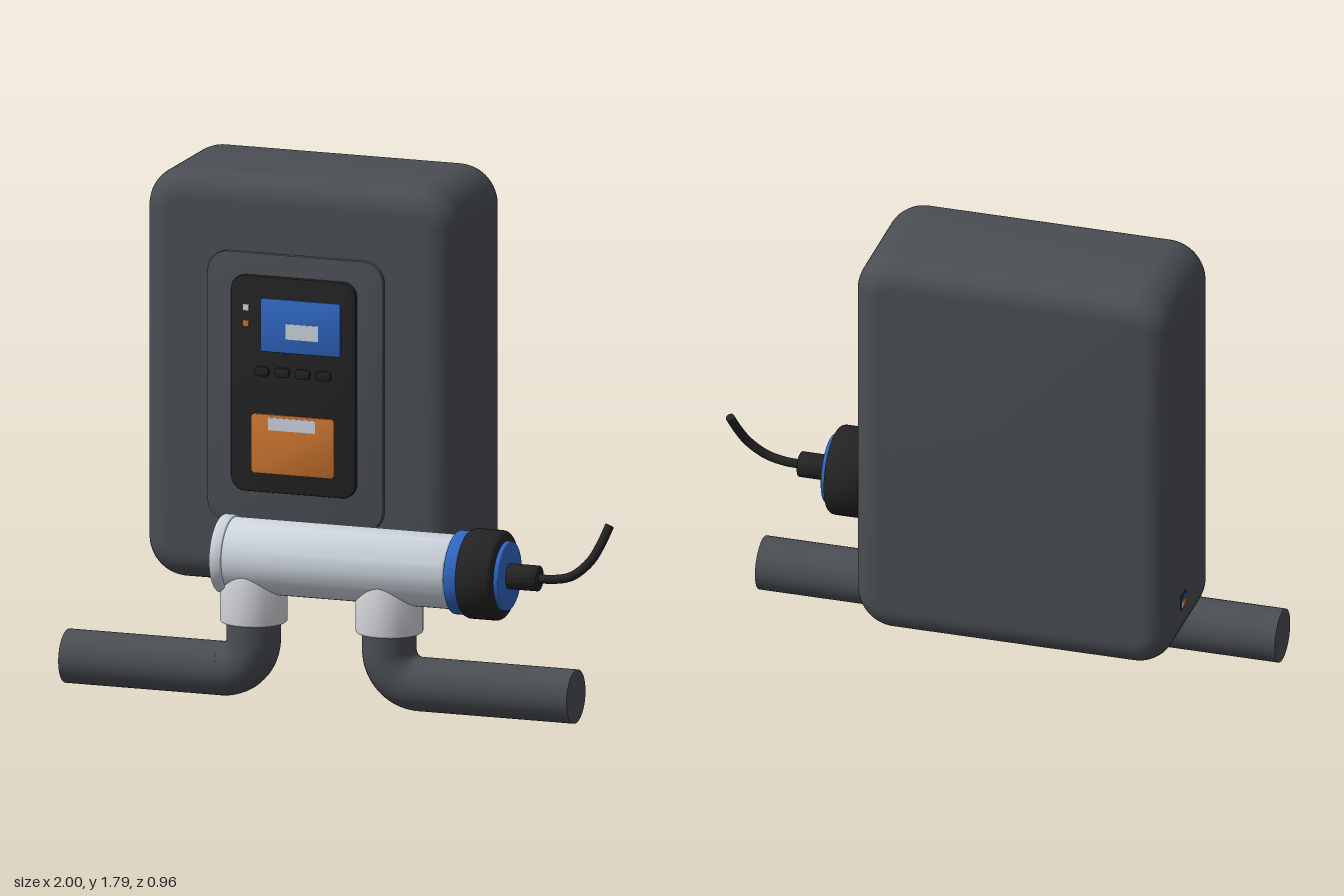
import * as THREE from 'three';
import { toCreasedNormals } from 'three/addons/utils/BufferGeometryUtils.js';

const mat = (name, color) => {
  const m = new THREE.MeshStandardMaterial({ color });
  m.name = name;
  return m;
};

// Rounded rectangle outline centred on the origin
function roundedRect(w, h, r) {
  const s = new THREE.Shape(), x = w / 2, y = h / 2;
  s.moveTo(-x + r, -y);
  s.lineTo(x - r, -y);
  s.absarc(x - r, -y + r, r, -Math.PI / 2, 0);
  s.lineTo(x, y - r);
  s.absarc(x - r, y - r, r, 0, Math.PI / 2);
  s.lineTo(-x + r, y);
  s.absarc(-x + r, y - r, r, Math.PI / 2, Math.PI);
  s.lineTo(-x, -y + r);
  s.absarc(-x + r, -y + r, r, Math.PI, Math.PI * 1.5);
  return s;
}

// Rounded slab between two corners and two depths, with an edge bevel
function slab(x0, x1, y0, y1, z0, z1, r, bevel, segments = 2) {
  const g = new THREE.ExtrudeGeometry(roundedRect(x1 - x0 - 2 * bevel, y1 - y0 - 2 * bevel, r - bevel), {
    depth: z1 - z0 - 2 * bevel, bevelEnabled: bevel > 0, bevelSize: bevel,
    bevelThickness: bevel, bevelSegments: segments, curveSegments: 10,
  });
  g.translate((x0 + x1) / 2, (y0 + y1) / 2, z0 + bevel);
  return toCreasedNormals(g, 0.6);
}

// Closed turned solid along y, with rounded rims
function turned(radius, y0, y1, rim) {
  const pts = [new THREE.Vector2(0, y0)];
  for (const [cy, start] of [[y0 + rim, -Math.PI / 2], [y1 - rim, 0]]) {
    for (let i = 0; i <= 5; i++) {
      const a = start + (i / 5) * Math.PI / 2;
      pts.push(new THREE.Vector2(radius - rim + Math.cos(a) * rim, cy + Math.sin(a) * rim));
    }
  }
  pts.push(new THREE.Vector2(0, y1));
  return toCreasedNormals(new THREE.LatheGeometry(pts, 48), 0.6);
}

export function createModel() {
  const root = new THREE.Group();
  root.name = 'waterTreatmentUnit';
  const grey = mat('dark grey', 0x4a4e53);
  const black = mat('black', 0x232323);
  const blue = mat('blue', 0x2f66c0);
  const orange = mat('orange', 0xc8732f);
  const silver = mat('pale blue grey', 0xcdd5de);
  const fitting = mat('light grey', 0xd4d6da);

  const add = (name, geometry, material, parent = root) => {
    const m = new THREE.Mesh(geometry, material);
    m.name = name;
    parent.add(m);
    return m;
  };
  const box = (x0, x1, y0, y1, z0, z1) =>
    new THREE.BoxGeometry(x1 - x0, y1 - y0, z1 - z0).translate((x0 + x1) / 2, (y0 + y1) / 2, (z0 + z1) / 2);

  // Cabinet and its control panel
  add('cabinet', slab(-0.825, 0.325, 0.33, 1.79, -0.48, 0.055, 0.14, 0.095, 8), grey);
  add('panelSurround', slab(-0.577, 0.075, 0.56, 1.522, 0.045, 0.071, 0.075, 0.004), grey);
  add('panel', slab(-0.482, -0.021, 0.677, 1.445, 0.06, 0.09, 0.05, 0.004), black);
  add('screen', slab(-0.37, -0.073, 1.18, 1.37, 0.09, 0.098, 0.01, 0.002), blue);
  add('screenReadout', box(-0.276, -0.156, 1.23, 1.285, 0.097, 0.1), silver);
  add('notice', slab(-0.405, -0.096, 0.745, 0.957, 0.09, 0.098, 0.014, 0.002), orange);
  add('noticeStrip', box(-0.34, -0.167, 0.902, 0.947, 0.097, 0.1), silver);
  add('upperLight', box(-0.437, -0.414, 1.32, 1.343, 0.089, 0.095), silver);
  add('lowerLight', box(-0.437, -0.414, 1.264, 1.286, 0.089, 0.095), orange);
  for (let i = 0; i < 4; i++) {
    const x = -0.366 + i * 0.0765;
    add('button', slab(x - 0.027, x + 0.027, 1.092, 1.126, 0.088, 0.103, 0.012, 0.003), black);
  }

  // Small rating plate on the cabinet side
  const plate = new THREE.Group();
  plate.name = 'sidePlate';
  root.add(plate);
  add('plateBase', box(-0.829, -0.822, 0.508, 0.562, -0.33, -0.27), black, plate);
  add('plateBlue', box(-0.831, -0.828, 0.541, 0.558, -0.325, -0.275), blue, plate);
  add('plateOrange', box(-0.831, -0.828, 0.513, 0.538, -0.308, -0.275), orange, plate);
  add('plateWhite', box(-0.831, -0.828, 0.513, 0.538, -0.325, -0.311), silver, plate);

  // Horizontal cell housing, turned about x
  const cell = new THREE.Group();
  cell.name = 'cell';
  cell.position.set(0, 0.505, 0.325);
  root.add(cell);
  const parts = [
    ['housing', 0.131, -0.4, 0.44, 0.01, silver],
    ['endFlange', 0.138, -0.427, -0.383, 0.007, silver],
    ['neck', 0.115, 0.43, 0.46, 0.002, black],
    ['blueCollar', 0.147, 0.445, 0.495, 0.006, blue],
    ['unionNut', 0.158, 0.488, 0.623, 0.022, black],
    ['blueEndCap', 0.122, 0.61, 0.64, 0.005, blue],
    ['cableGland', 0.045, 0.635, 0.75, 0.005, black],
  ];
  for (const [name, r, x0, x1, rim, m] of parts) {
    add(name, turned(r, x0, x1, rim).rotateZ(-Math.PI / 2), m, cell);
  }

  // Cable leaving the gland
  const cablePath = new THREE.CatmullRomCurve3([
    [0.73, 0.505, 0.325], [0.8, 0.506, 0.326], [0.87, 0.523, 0.325],
    [0.93, 0.575, 0.305], [0.96, 0.635, 0.275], [0.98, 0.695, 0.245],
  ].map(p => new THREE.Vector3(...p)));
  add('cable', new THREE.TubeGeometry(cablePath, 40, 0.016, 12), black);
  const tip = add('cableEnd', new THREE.CircleGeometry(0.016, 12), black);
  tip.position.copy(cablePath.getPoint(1));
  tip.quaternion.setFromUnitVectors(new THREE.Vector3(0, 0, 1), cablePath.getTangent(1));

  // Sockets and bent pipes, one run to each side
  const bend = 0.115, low = 0.095, z = 0.325;
  for (const [x, end] of [[-0.31, -1], [0.193, 0.885]]) {
    const s = Math.sign(end);
    const socket = add('socket', turned(0.118, 0.272, 0.5, 0.008), fitting);
    socket.position.set(x, 0, z);
    const riser = add('riserPipe', new THREE.CylinderGeometry(0.095, 0.095, 0.2, 40, 1, true), grey);
    riser.position.set(x, low + bend + 0.1, z);
    const elbow = add('elbow', new THREE.TorusGeometry(bend, 0.095, 32, 20, Math.PI / 2), grey);
    elbow.position.set(x + s * bend, low + bend, z);
    elbow.rotation.z = s > 0 ? Math.PI : -Math.PI / 2;
    const start = x + s * bend;
    const run = add('runPipe', new THREE.CylinderGeometry(0.095, 0.095, Math.abs(end - start), 40), grey);
    run.rotation.z = Math.PI / 2;
    run.position.set((start + end) / 2, low, z);
  }
  return root;
}
